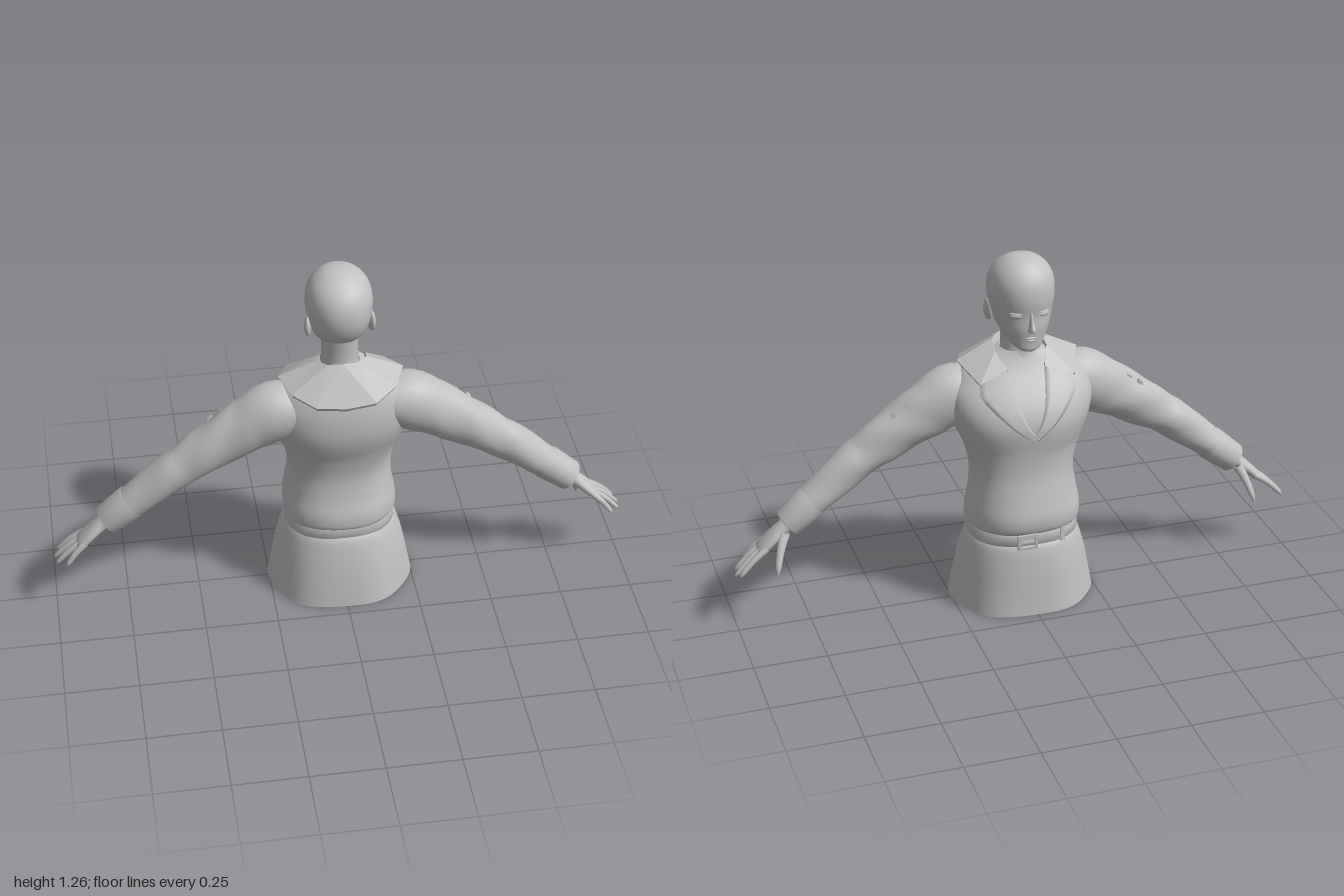
import * as THREE from 'three';

const grey = new THREE.MeshStandardMaterial({ color: 0xc0c0c0, side: THREE.DoubleSide });
grey.name = 'plain grey';
const V = (x, y, z) => new THREE.Vector3(x, y, z);
const spow = (v, p) => Math.sign(v) * Math.abs(v) ** p;

// Skin a grid of points; closed joins each row's end to its start
function skin(rows, closed = true) {
  const n = rows[0].length, pos = [], idx = [];
  rows.forEach(r => r.forEach(p => pos.push(p.x, p.y, p.z)));
  for (let i = 0; i < rows.length - 1; i++) {
    for (let j = 0; j < (closed ? n : n - 1); j++) {
      const k = (j + 1) % n, a = i * n + j, b = i * n + k;
      idx.push(a, a + n, b, b, a + n, b + n);
    }
  }
  const g = new THREE.BufferGeometry();
  g.setAttribute('position', new THREE.Float32BufferAttribute(pos, 3));
  g.setIndex(idx);
  g.computeVertexNormals();
  return g;
}

// Smoothly interpolate a table of number rows
function smooth(table, steps) {
  const out = [], last = table.length - 1;
  for (let s = 0; s <= last * steps; s++) {
    const i = Math.min(Math.floor(s / steps), last - 1), t = s / steps - i;
    const r = k => table[Math.max(0, Math.min(last, k))];
    out.push(r(i).map((b, c) => {
      const a = r(i - 1)[c], d = r(i + 1)[c], e = r(i + 2)[c];
      return b + 0.5 * t * (d - a + t * (2 * a - 5 * b + 4 * d - e + t * (3 * (b - d) + e - a)));
    }));
  }
  return out;
}

// Upright body from rows of [y, halfWidth, zBack, zFront]
function body(table, n = 2, steps = 4, seg = 40, wave = () => 0) {
  return skin(smooth(table, steps).map(([y, hx, zb, zf]) =>
    Array.from({ length: seg }, (_, j) => {
      const a = j / seg * Math.PI * 2, w = 1 + wave(a, y);
      return V(hx * w * spow(Math.cos(a), 2 / n), y,
        (zb + zf) / 2 + (zb - zf) / 2 * w * spow(Math.sin(a), 2 / n));
    })));
}

// Limb from rows of [x, y, z, radius, zRadius] following a path
function limb(table, steps = 4, seg = 20, wave = () => 0) {
  const rows = smooth(table, steps);
  return skin(rows.map(([x, y, z, r, rz], i) => {
    const p = rows[Math.max(0, i - 1)], q = rows[Math.min(rows.length - 1, i + 1)];
    const t = V(q[0] - p[0], q[1] - p[1], 0).normalize();
    return Array.from({ length: seg }, (_, j) => {
      const a = j / seg * Math.PI * 2, w = 1 + wave(a, x);
      return V(x - t.y * r * w * Math.cos(a), y + t.x * r * w * Math.cos(a), z - rz * w * Math.sin(a));
    });
  }));
}

// Copy a geometry to the other side of x = 0
function mirror(g) {
  const m = g.clone().scale(-1, 1, 1), ix = m.index.array;
  for (let i = 0; i < ix.length; i += 3) [ix[i], ix[i + 1]] = [ix[i + 1], ix[i]];
  m.computeVertexNormals();
  return m;
}

const torso = [
  [0.30, 0.183, 0.145, -0.165], [0.315, 0.195, 0.16, -0.183], [0.36, 0.195, 0.158, -0.188],
  [0.42, 0.185, 0.14, -0.175], [0.50, 0.178, 0.128, -0.158], [0.58, 0.192, 0.14, -0.156],
  [0.65, 0.222, 0.162, -0.166], [0.70, 0.24, 0.172, -0.167], [0.75, 0.25, 0.172, -0.152],
  [0.80, 0.245, 0.165, -0.122], [0.85, 0.21, 0.15, -0.085], [0.88, 0.17, 0.13, -0.065],
  [0.91, 0.11, 0.10, -0.05], [0.93, 0.065, 0.08, -0.045]];

// Height-field of the chest, used to lay the lapels on it
function chestZ(x, y) {
  const i = Math.max(0, torso.findIndex(r => r[0] > y) - 1), a = torso[i], b = torso[i + 1];
  const [, hx, zb, zf] = a.map((v, c) => v + (b[c] - v) * (y - a[0]) / (b[0] - a[0]));
  const k = Math.max(0, 1 - Math.min(1, Math.abs(x) / hx) ** 2.3) ** (1 / 2.3);
  return (zb + zf) / 2 - (zb - zf) / 2 * k;
}

export function createModel() {
  const group = new THREE.Group();
  const add = (name, geo) => {
    const m = new THREE.Mesh(geo, grey);
    m.name = name;
    group.add(m);
    return m;
  };
  const pair = (name, geo) => {
    add(name + 'Left', geo);
    add(name + 'Right', mirror(geo));
  };

  // Jacket body, flared skirt and belt
  add('jacket', body(torso, 2.3, 4, 48, (a, y) => 0.008 * Math.sin(5 * a + y * 25) * (y < 0.6 ? 1 : 0)));
  add('skirt', body([
    [0.008, 0.25, 0.215, -0.213], [0.10, 0.234, 0.2, -0.204], [0.18, 0.218, 0.183, -0.196],
    [0.25, 0.197, 0.163, -0.184], [0.275, 0.18, 0.145, -0.165]], 2.2, 5, 48,
    (a, y) => 0.018 * Math.sin(6 * a + 1) * (0.28 - y) / 0.28));
  add('belt', body([
    [0.262, 0.178, 0.14, -0.16], [0.263, 0.191, 0.152, -0.176],
    [0.303, 0.191, 0.152, -0.176], [0.304, 0.178, 0.14, -0.16]], 2.3, 1, 48));

  // Buckle frame, prong and belt loop
  const points = (w, h) => [[-w, -h], [w, -h], [w, h], [-w, h]].map(p => new THREE.Vector2(...p));
  const frame = new THREE.Shape(points(0.035, 0.027));
  frame.holes.push(new THREE.Path(points(0.025, 0.017)));
  add('buckleFrame', new THREE.ExtrudeGeometry(frame, { depth: 0.01, bevelEnabled: false })).position.set(0.03, 0.283, -0.19);
  add('buckleProng', new THREE.BoxGeometry(0.05, 0.007, 0.008)).position.set(0.03, 0.283, -0.184);
  const loop = add('beltLoop', new THREE.BoxGeometry(0.02, 0.056, 0.014));
  loop.position.set(-0.1, 0.283, -0.155);
  loop.rotation.y = 0.35;

  // Turned-down collar, built as one half and mirrored
  const inner = [[0, 0.955, 0.09], [0.05, 0.953, 0.083], [0.085, 0.948, 0.045], [0.09, 0.925, -0.01], [0.065, 0.88, -0.07]];
  const outer = [[0, 0.833, 0.174], [0.1, 0.842, 0.168], [0.175, 0.872, 0.122], [0.21, 0.89, 0.035], [0.165, 0.846, -0.09]];
  const under = outer.map(([x, y, z]) => [x * 0.97, y - 0.012, z * 0.97]);
  const stand = inner.map(([x, y, z]) => [x * 0.8, y - 0.05, z * 0.8]);
  const collar = skin([under, outer, inner, stand].map(r => r.map(p => V(...p))), false).toNonIndexed();
  collar.computeVertexNormals();
  collar.setIndex([...Array(collar.attributes.position.count).keys()]);
  pair('collar', collar);

  // Lapels laid on the chest, meeting at the foot of the neckline
  const lapelEdges = [[0.065, 0.875, 0.15, 0.845], [0.06, 0.84, 0.165, 0.805], [0.05, 0.79, 0.135, 0.765],
    [0.035, 0.74, 0.09, 0.72], [0.012, 0.69, 0.045, 0.68], [-0.015, 0.66, 0.005, 0.652]];
  pair('lapel', skin(smooth(lapelEdges, 2).map(([xi, yi, xo, yo]) =>
    Array.from({ length: 9 }, (_, j) => {
      const t = Math.max(0, Math.min(1, (j - 1) / 6));
      const x = xi + (xo - xi) * t, y = yi + (yo - yi) * t;
      return V(x, y, chestZ(x, y) - (j === 0 || j === 8 ? -0.006 : 0.009));
    })), false));

  // Sleeves with soft creases and a cuff
  pair('sleeve', limb([
    [0.13, 0.785, 0.05, 0.07, 0.085], [0.22, 0.765, 0.05, 0.104, 0.095], [0.31, 0.718, 0.05, 0.098, 0.083],
    [0.39, 0.672, 0.052, 0.088, 0.073], [0.47, 0.622, 0.054, 0.08, 0.068], [0.53, 0.582, 0.055, 0.07, 0.062],
    [0.585, 0.545, 0.054, 0.069, 0.064], [0.70, 0.452, 0.05, 0.057, 0.06], [0.79, 0.378, 0.047, 0.053, 0.057]],
    4, 28, (a, x) => x > 0.3 && x < 0.72 ? 0.025 * Math.sin(3 * a + x * 40) : 0));
  pair('cuff', limb([
    [0.715, 0.44, 0.049, 0.05, 0.054], [0.72, 0.436, 0.049, 0.06, 0.061],
    [0.805, 0.367, 0.046, 0.054, 0.058], [0.81, 0.363, 0.046, 0.03, 0.035]], 1, 28));

  // Strapped patch on each upper arm
  for (const s of [1, -1]) {
    const patch = new THREE.Group();
    patch.name = s > 0 ? 'armPatchLeft' : 'armPatchRight';
    patch.position.set(s * 0.41, 0.733, 0.045);
    patch.rotation.z = -s * 0.58;
    [[0, 0, 0.085, 0.016, 0.07], [-0.025, 0.01, 0.018, 0.014, 0.076], [0.025, 0.01, 0.018, 0.014, 0.076]]
      .forEach(([x, y, w, h, d]) => {
        const m = new THREE.Mesh(new THREE.BoxGeometry(w, h, d), grey);
        m.name = 'patchPiece';
        m.position.set(s * x, y, 0);
        patch.add(m);
      });
    group.add(patch);
  }

  // Hands: palm, four fingers and thumb
  pair('palm', limb([
    [0.77, 0.394, 0.045, 0.026, 0.03], [0.82, 0.355, 0.045, 0.024, 0.03], [0.86, 0.322, 0.046, 0.02, 0.042],
    [0.90, 0.285, 0.048, 0.016, 0.046], [0.915, 0.272, 0.048, 0.004, 0.035]], 3, 16));
  [[0.012, -0.004, 0.985, 0.212], [0.036, 0.025, 0.997, 0.203], [0.06, 0.063, 0.99, 0.206], [0.083, 0.1, 0.955, 0.222]]
    .forEach(([z0, z1, x, y], i) => {
      const at = t => [0.885 + (x - 0.885) * t, 0.298 + (y - 0.298) * t + 0.008 * Math.sin(t * Math.PI), z0 + (z1 - z0) * t];
      pair('finger' + (i + 1), limb([[...at(0), 0.012, 0.012], [...at(0.5), 0.0105, 0.0105],
        [...at(0.9), 0.008, 0.008], [...at(1), 0.001, 0.001]], 3, 10));
    });
  pair('thumb', limb([
    [0.82, 0.345, 0.025, 0.02, 0.018], [0.842, 0.295, -0.005, 0.014, 0.014],
    [0.858, 0.245, -0.032, 0.01, 0.01], [0.863, 0.215, -0.042, 0.001, 0.001]], 3, 10));

  // Neck and head
  add('neck', body([
    [0.85, 0.09, 0.085, -0.06], [0.91, 0.066, 0.077, -0.05], [0.97, 0.061, 0.074, -0.042], [1.05, 0.062, 0.08, -0.04]]));
  add('head', body([
    [0.952, 0.004, -0.095, -0.105], [0.957, 0.024, -0.075, -0.115], [0.967, 0.044, -0.045, -0.12],
    [0.985, 0.061, 0.0, -0.121], [1.01, 0.076, 0.05, -0.124], [1.04, 0.09, 0.088, -0.127],
    [1.08, 0.102, 0.112, -0.126], [1.13, 0.11, 0.121, -0.132], [1.18, 0.108, 0.112, -0.127],
    [1.22, 0.092, 0.086, -0.107], [1.25, 0.06, 0.044, -0.076], [1.262, 0.03, 0.01, -0.046], [1.266, 0.001, -0.017, -0.019]], 2.1));
  add('nose', body([
    [1.025, 0.004, -0.11, -0.125], [1.033, 0.014, -0.11, -0.142], [1.042, 0.012, -0.11, -0.156],
    [1.065, 0.008, -0.11, -0.142], [1.1, 0.005, -0.11, -0.128]], 2, 3, 16));

  // Ears, eyes, eyelids and lips
  const ball = (x, y, z, a, b, c, turn = 0) =>
    new THREE.SphereGeometry(1, 20, 14).scale(a, b, c).rotateY(turn).translate(x, y, z);
  pair('ear', ball(0.105, 1.07, 0.016, 0.012, 0.038, 0.025, 0.25));
  pair('eye', ball(0.047, 1.086, -0.113, 0.02, 0.009, 0.006, -0.4));
  pair('eyelid', ball(0.047, 1.096, -0.114, 0.023, 0.003, 0.007, -0.4));
  add('upperLip', ball(0, 1.008, -0.123, 0.02, 0.004, 0.006));
  add('lowerLip', ball(0, 0.998, -0.121, 0.015, 0.005, 0.006));
  return group;
}
